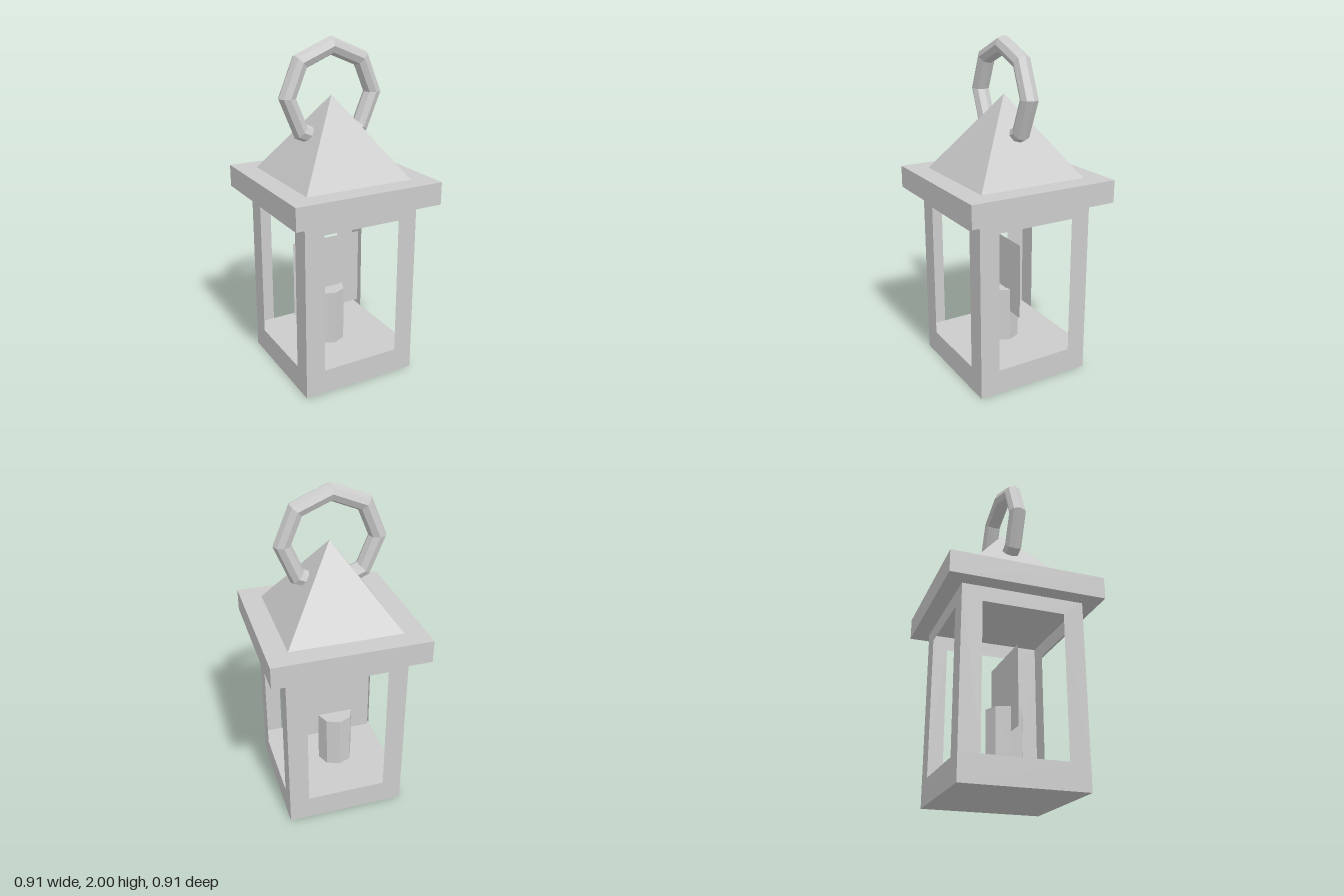
import * as THREE from 'three';

export function createModel() {
  const model = new THREE.Group();
  const solid = new THREE.MeshStandardMaterial({ color: 0xcccccc, flatShading: true });
  const thin = new THREE.MeshStandardMaterial({ color: 0xcccccc, flatShading: true, side: THREE.DoubleSide });

  const add = (name, geometry, material, x = 0, y = 0, z = 0) => {
    const mesh = new THREE.Mesh(geometry, material);
    mesh.name = name;
    mesh.position.set(x, y, z);
    model.add(mesh);
    return mesh;
  };

  const half = 0.359, open = 0.24;              // body and window half widths
  const floorY = 0.15, windowTop = 0.99, eaveY = 1.08, roofY = 1.213, apexY = 1.677;

  // Base block whose top is the lantern floor
  add('base', new THREE.BoxGeometry(half * 2, floorY, half * 2), solid, 0, floorY / 2);

  // Thin window frames: two posts and a lintel on each side
  const frame = new THREE.Shape([
    [-half, floorY], [-open, floorY], [-open, windowTop], [open, windowTop],
    [open, floorY], [half, floorY], [half, eaveY], [-half, eaveY],
  ].map(([x, y]) => new THREE.Vector2(x, y)));
  const frameGeometry = new THREE.ShapeGeometry(frame).translate(0, 0, half);
  ['front', 'left', 'back', 'right'].forEach((side, i) => {
    add(side + 'WindowFrame', frameGeometry, thin).rotation.y = i * Math.PI / 2;
  });

  // Roof slab and pyramid
  add('eaves', new THREE.BoxGeometry(0.914, roofY - eaveY, 0.914), solid, 0, (eaveY + roofY) / 2);
  const roof = new THREE.ConeGeometry(0.332 * Math.SQRT2, apexY - roofY, 4).rotateY(Math.PI / 4);
  add('roof', roof, solid, 0, (roofY + apexY) / 2);

  // Hanging ring through the roof peak
  add('ring', new THREE.TorusGeometry(0.272, 0.052, 8, 8), solid, -0.005, 1.676);

  // Candle with flat flame and glow cards
  const candleX = -0.035;
  add('candle', new THREE.CylinderGeometry(0.109, 0.109, 0.34, 8), solid, candleX, floorY + 0.17);
  add('glow', new THREE.PlaneGeometry(0.446, 0.468), thin, candleX, 0.58, 0);
  add('flame', new THREE.PlaneGeometry(0.178, 0.19), thin, candleX, 0.582, 0.008);

  return model;
}
